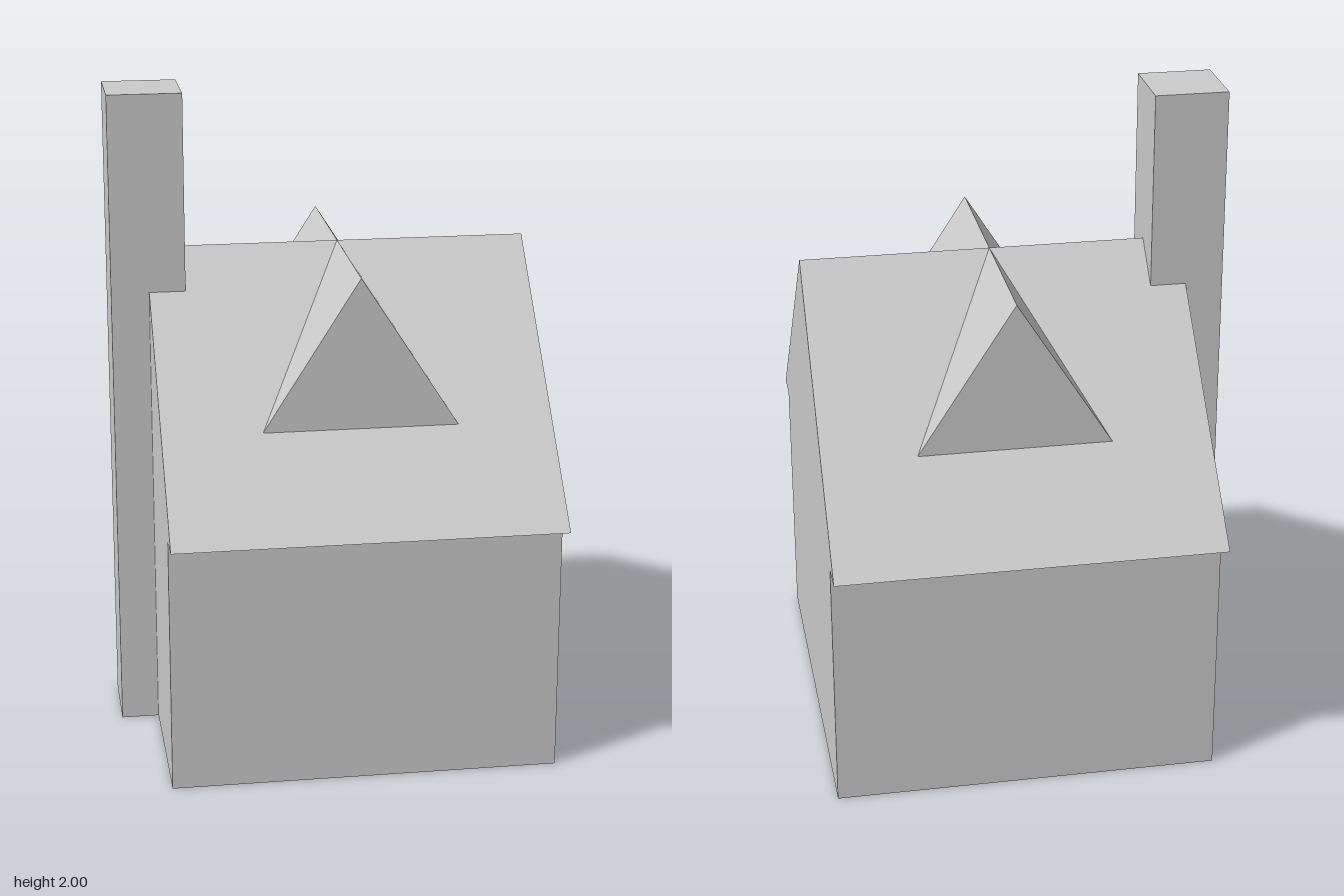
import * as THREE from 'three';

const material = new THREE.MeshStandardMaterial({ color: 0xcccccc, flatShading: true, side: THREE.DoubleSide });

// Main dimensions
const X0 = -0.53, X1 = 0.64;              // gable planes
const WALL_Z = 0.63, EAVE_Z = 0.73, EAVE_Y = 0.79, RIDGE_Y = 1.51;
const CH_OUT = -0.645, CH_IN = -0.42, CH_Z = 0.115, TOP = 2;
const roofY = (z) => RIDGE_Y - (RIDGE_Y - EAVE_Y) * Math.abs(z) / EAVE_Z;
const CH_Y = roofY(CH_Z);                 // where the chimney sides meet the roof

// Flat panel from a planar outline; u and v are the axes used for triangulating
function panel(name, points, u, v) {
  const pts = points.map((p) => new THREE.Vector3(...p));
  const outline = pts.map((p) => new THREE.Vector2(p[u], p[v]));
  const corners = THREE.ShapeUtils.triangulateShape(outline, []).flat().map((i) => pts[i]);
  const geometry = new THREE.BufferGeometry().setFromPoints(corners);
  geometry.computeVertexNormals();
  const mesh = new THREE.Mesh(geometry, material);
  mesh.name = name;
  return mesh;
}

// Half of the house on one side of the ridge: s = 1 front, s = -1 back
function buildHalf(s) {
  const half = new THREE.Group();
  half.name = s > 0 ? 'frontHalf' : 'backHalf';

  const w = s * WALL_Z, e = s * EAVE_Z, c = s * CH_Z;
  half.add(panel('longWall', [[X0, 0, w], [X1, 0, w], [X1, EAVE_Y, w], [X0, EAVE_Y, w]], 'x', 'y'));

  // Roof slope, notched around the chimney
  half.add(panel('roofSlope', [
    [X0, EAVE_Y, e], [X1, EAVE_Y, e], [X1, RIDGE_Y, 0], [CH_IN, RIDGE_Y, 0],
    [CH_IN, CH_Y, c], [X0, CH_Y, c],
  ], 'x', 'z'));

  // Gable beside the chimney opening
  half.add(panel('chimneyGable', [
    [X0, 0, c], [X0, 0, w], [X0, EAVE_Y, w], [X0, EAVE_Y, e], [X0, CH_Y, c],
  ], 'z', 'y'));

  // Chimney side, stepping in over the roof
  half.add(panel('chimneySide', [
    [CH_OUT, 0, c], [X0, 0, c], [X0, CH_Y, c], [CH_IN, CH_Y, c], [CH_IN, TOP, c], [CH_OUT, TOP, c],
  ], 'x', 'y'));

  // Dormer with a triangular face and two sloping sides
  const d = s * 0.465, y = roofY(d);
  const left = [0.355, y, d], right = [-0.23, y, d];
  const peak = [0.06, RIDGE_Y, d], back = [0.06, RIDGE_Y, 0];
  half.add(panel('dormerFace', [left, right, peak], 'x', 'y'));
  half.add(panel('dormerLeftSlope', [left, peak, back], 'x', 'z'));
  half.add(panel('dormerRightSlope', [right, peak, back], 'x', 'z'));
  return half;
}

export function createModel() {
  const house = new THREE.Group();
  house.name = 'house';
  house.add(buildHalf(1), buildHalf(-1));

  // Plain gable wall
  house.add(panel('gableWall', [
    [X1, 0, -WALL_Z], [X1, EAVE_Y, -WALL_Z], [X1, EAVE_Y, -EAVE_Z], [X1, RIDGE_Y, 0],
    [X1, EAVE_Y, EAVE_Z], [X1, EAVE_Y, WALL_Z], [X1, 0, WALL_Z],
  ], 'z', 'y'));

  // Remaining chimney faces
  house.add(panel('chimneyOuterFace', [
    [CH_OUT, 0, -CH_Z], [CH_OUT, 0, CH_Z], [CH_OUT, TOP, CH_Z], [CH_OUT, TOP, -CH_Z],
  ], 'z', 'y'));
  house.add(panel('chimneyInnerFace', [
    [CH_IN, CH_Y, -CH_Z], [CH_IN, RIDGE_Y, 0], [CH_IN, CH_Y, CH_Z], [CH_IN, TOP, CH_Z], [CH_IN, TOP, -CH_Z],
  ], 'z', 'y'));
  house.add(panel('chimneyTop', [
    [CH_OUT, TOP, -CH_Z], [CH_OUT, TOP, CH_Z], [CH_IN, TOP, CH_Z], [CH_IN, TOP, -CH_Z],
  ], 'x', 'z'));
  return house;
}
